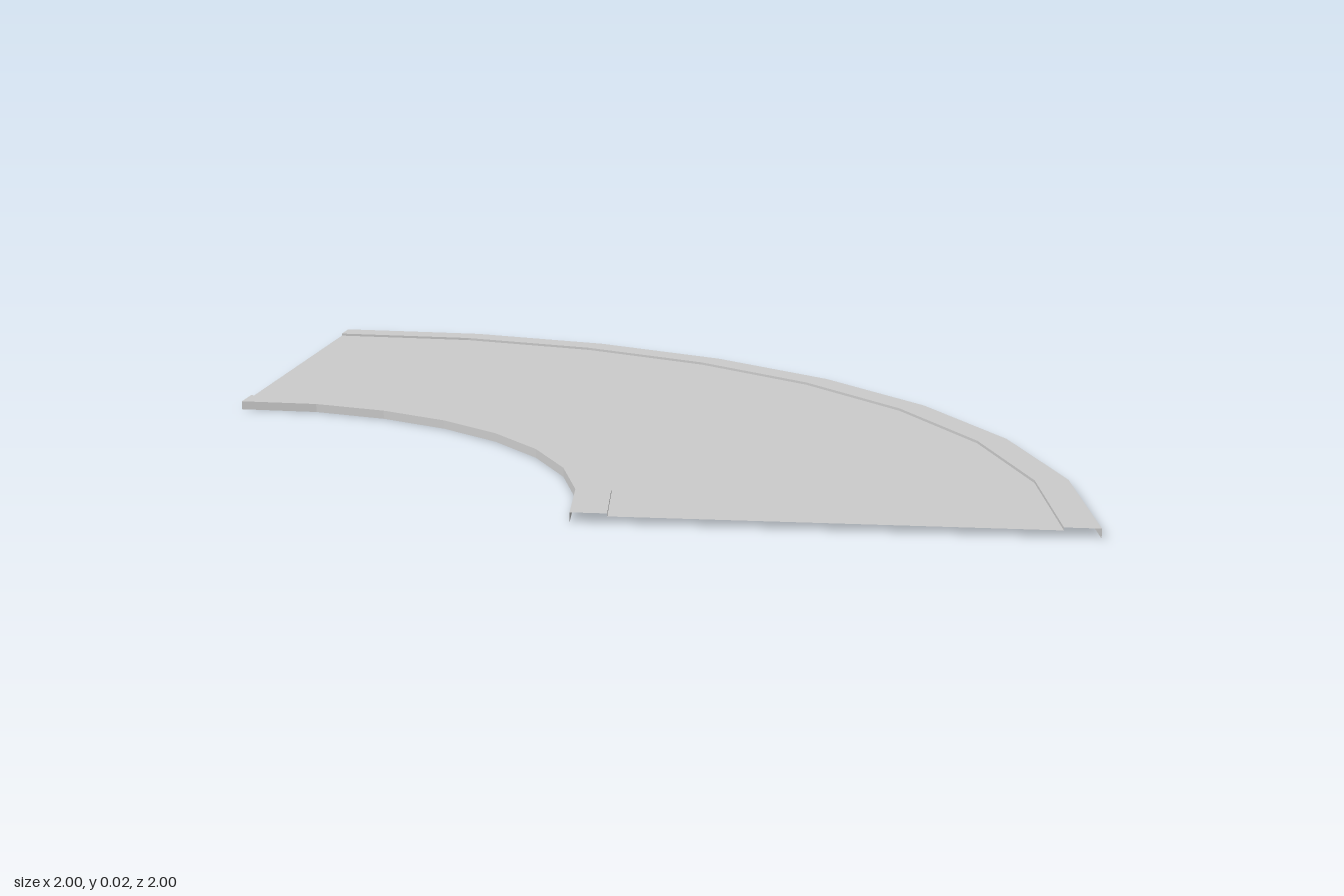
import * as THREE from 'three';

const SEGMENTS = 8;
const TOP = 0.02;      // kerb height
const ROAD = 0.014;    // road surface height

const material = new THREE.MeshStandardMaterial({
  color: 0xcccccc, flatShading: true, side: THREE.DoubleSide,
});

// Sweeps a [radius, y] profile through a quarter turn about the corner (-1, 1)
function sweep(name, profile) {
  const positions = [], index = [], n = profile.length;
  for (let i = 0; i <= SEGMENTS; i++) {
    const t = i / SEGMENTS, angle = t * Math.PI / 2;
    // the bend is slightly fuller just after its first edge
    const bulge = i === 0 ? 0 : 0.01 * (1 - t);
    for (const [r, y] of profile) {
      positions.push(-1 + (r + bulge) * Math.sin(angle), y, 1 - (r + bulge) * Math.cos(angle));
    }
  }
  for (let i = 0; i < SEGMENTS; i++) {
    for (let j = 0; j < n - 1; j++) {
      const a = i * n + j, b = a + 1, d = a + n, c = d + 1;
      index.push(a, d, c, a, c, b);
    }
  }
  const geometry = new THREE.BufferGeometry();
  geometry.setAttribute('position', new THREE.Float32BufferAttribute(positions, 3));
  geometry.setIndex(index);
  const flat = geometry.toNonIndexed();
  flat.computeVertexNormals();
  const mesh = new THREE.Mesh(flat, material);
  mesh.name = name;
  return mesh;
}

export function createModel() {
  const group = new THREE.Group();
  group.name = 'curvedRoad';

  // Sunken road sheet between the kerbs
  group.add(sweep('roadSurface', [[1.04, ROAD], [1.928, ROAD]]));

  // Hollow kerbs: outside wall, flat top, small step down to the road
  group.add(sweep('innerKerb', [[0.965, 0], [0.965, TOP], [1.04, TOP], [1.04, ROAD]]));
  group.add(sweep('outerKerb', [[1.928, ROAD], [1.928, TOP], [2, TOP], [2, 0]]));

  return group;
}
